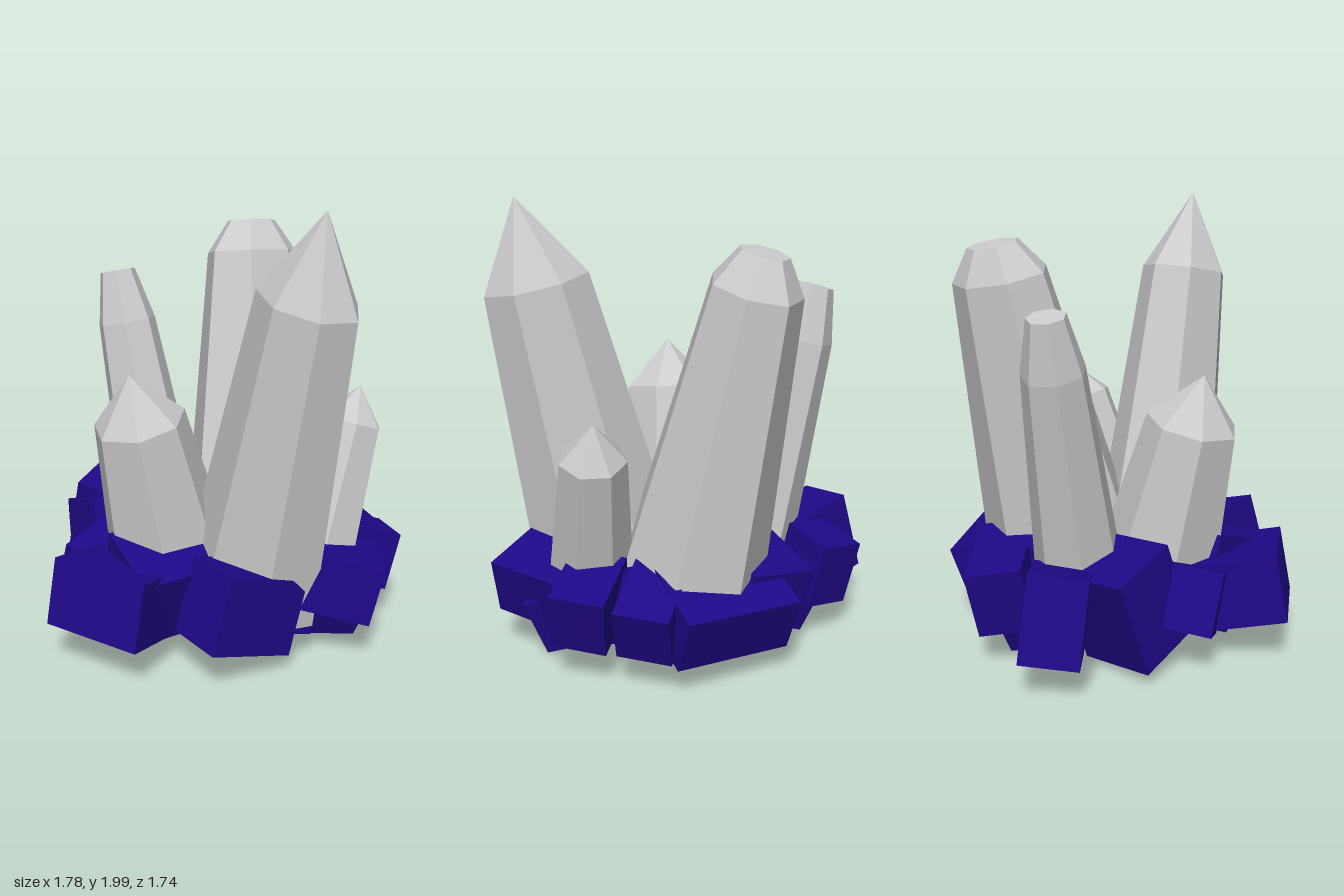
import * as THREE from 'three';

const crystalMaterial = new THREE.MeshStandardMaterial({ color: 0xcccccc, flatShading: true });
const rockMaterial = new THREE.MeshStandardMaterial({ color: 0x1f0888, flatShading: true });

// Seven-sided crystal from base to end: flares at the foot, bevels in above the shoulder.
// tipR = 0 gives a point, otherwise the end is cut flat. widen makes the section oval in x, z.
function crystal(name, base, end, shoulder, [baseR, shoulderR, tipR = 0], widen = [1, 1]) {
  const from = new THREE.Vector3(...base);
  const axis = new THREE.Vector3(...end).sub(from);
  const h = axis.length();
  const profile = [[0, 0], [baseR, 0], [shoulderR, h * shoulder], [tipR, h]];
  if (tipR > 0) profile.push([0, h]);
  const geometry = new THREE.LatheGeometry(profile.map(([r, y]) => new THREE.Vector2(r, y)), 7);
  geometry.scale(widen[0], 1, widen[1]);
  const mesh = new THREE.Mesh(geometry, crystalMaterial);
  mesh.name = name;
  mesh.position.copy(from);
  mesh.quaternion.setFromUnitVectors(new THREE.Vector3(0, 1, 0), axis.normalize());
  return mesh;
}

// Tilted block: centre, size, and pitch / yaw / roll in degrees
function block(name, centre, size, [pitch, yaw, roll]) {
  const mesh = new THREE.Mesh(new THREE.BoxGeometry(...size), rockMaterial);
  const rad = THREE.MathUtils.degToRad;
  mesh.name = name;
  mesh.position.set(...centre);
  mesh.rotation.set(rad(pitch), rad(yaw), rad(roll), 'YXZ');
  return mesh;
}

export function createModel() {
  const model = new THREE.Group();
  model.name = 'crystalCluster';

  const crystals = new THREE.Group();
  crystals.name = 'crystals';
  crystals.add(
    crystal('tallCrystal', [0.33, 0.25, 0.01], [0.72, 2, 0], 0.789, [0.29, 0.197], [1.2, 1]),
    crystal('thickBackCrystal', [0.04, 0.25, -0.31], [-0.25, 1.81, -0.5], 0.907, [0.34, 0.197, 0.105], [1, 1.2]),
    crystal('slimSideCrystal', [-0.3, 0.25, -0.01], [-0.62, 1.58, 0.03], 0.82, [0.21, 0.14, 0.085]),
    crystal('frontCrystal', [0, 0.25, 0.19], [0, 1.27, 0.43], 0.785, [0.3, 0.207]),
    crystal('smallBackCrystal', [0.455, 0.25, -0.23], [0.45, 1.14, -0.54], 0.82, [0.2, 0.145]),
  );

  // Ring of blocks around the crystal feet
  const outer = [
    [[0.1, 0.32, 0.57], [0.45, 0.3, 0.42], [-11, 21, -3]],
    [[0.51, 0.31, 0.23], [0.28, 0.34, 0.42], [-17, -6, 1]],
    [[0.62, 0.36, -0.22], [0.36, 0.26, 0.36], [-14, -42, 4]],
    [[0.48, 0.35, -0.5], [0.24, 0.27, 0.32], [-16, -25, 4]],
    [[0.22, 0.34, -0.61], [0.24, 0.25, 0.34], [-20, -26, 3]],
    [[-0.07, 0.32, -0.58], [0.53, 0.26, 0.36], [-20, 18, 2]],
    [[-0.27, 0.33, -0.38], [0.32, 0.3, 0.34], [-12, 20, 8]],
    [[-0.59, 0.34, -0.24], [0.22, 0.3, 0.25], [-10, 25, 8]],
    [[-0.64, 0.32, 0.07], [0.34, 0.38, 0.26], [6, 28, -13]],
    [[-0.36, 0.31, 0.25], [0.33, 0.45, 0.36], [-5, -12, 18]],
    [[-0.2, 0.32, 0.44], [0.25, 0.28, 0.34], [8, 17, -20]],
    [[0.15, 0.35, 0.36], [0.38, 0.34, 0.4], [3, -12, -17]],
  ];
  // Blocks packed underneath, giving the jagged underside
  const inner = [
    [[0, 0.28, -0.05], [0.5, 0.3, 0.5], [12, 35, 8]],
    [[-0.25, 0.27, -0.12], [0.4, 0.3, 0.36], [-20, 12, 15]],
    [[-0.42, 0.24, -0.18], [0.28, 0.32, 0.3], [-12, 15, 22]],
    [[0.3, 0.28, -0.3], [0.36, 0.3, 0.4], [20, 30, -14]],
    [[0.53, 0.25, -0.24], [0.3, 0.28, 0.34], [-14, -15, -18]],
    [[0.3, 0.28, 0.08], [0.4, 0.32, 0.34], [15, 15, -15]],
    [[0.45, 0.27, 0.02], [0.3, 0.28, 0.3], [-15, -10, 10]],
    [[-0.08, 0.28, 0.2], [0.4, 0.32, 0.36], [-18, 40, 12]],
    [[-0.1, 0.28, -0.35], [0.4, 0.3, 0.3], [22, -15, 10]],
    [[0.1, 0.22, 0.36], [0.26, 0.22, 0.36], [2, 10, 18]],
  ];
  const rocks = new THREE.Group();
  rocks.name = 'rockBase';
  outer.forEach(b => rocks.add(block('outerBlock', ...b)));
  inner.forEach(b => rocks.add(block('innerBlock', ...b)));

  model.add(crystals, rocks);
  return model;
}
